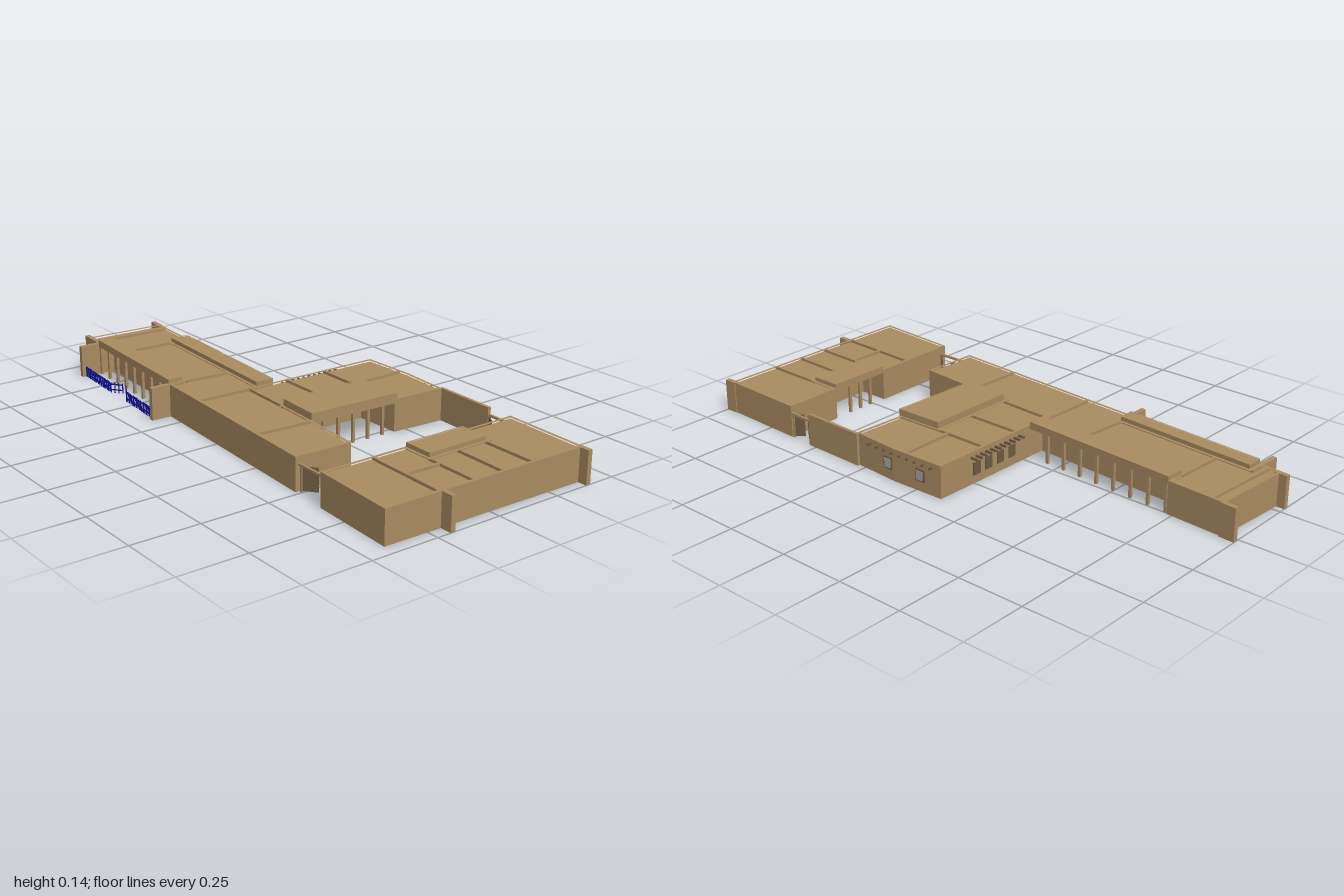
import * as THREE from 'three';

const wallMat = new THREE.MeshStandardMaterial({ color: 0xa98b61 });
const darkMat = new THREE.MeshStandardMaterial({ color: 0x6b5a42 });
const blueMat = new THREE.MeshStandardMaterial({ color: 0x12129a });
const glassMat = new THREE.MeshStandardMaterial({ color: 0xa9a9a0 });

// Plan points are [x, z].
const toVec = (pts) => pts.map(([x, z]) => new THREE.Vector2(x, -z));

// Mitred inward offset of a plan outline
function inset(pts, d) {
  const n = pts.length;
  let area = 0;
  pts.forEach(([x, z], i) => {
    const [u, v] = pts[(i + 1) % n];
    area += x * v - u * z;
  });
  const s = Math.sign(area);
  const normal = (a, b) => {
    const l = Math.hypot(b[0] - a[0], b[1] - a[1]);
    return [-s * (b[1] - a[1]) / l, s * (b[0] - a[0]) / l];
  };
  return pts.map((p, i) => {
    const m = normal(pts[(i + n - 1) % n], p), k = normal(p, pts[(i + 1) % n]);
    const f = d / (1 + m[0] * k[0] + m[1] * k[1]);
    return [p[0] + (m[0] + k[0]) * f, p[1] + (m[1] + k[1]) * f];
  });
}

function prism(name, pts, y0, y1, hole) {
  const shape = new THREE.Shape(toVec(pts));
  if (hole) shape.holes.push(new THREE.Path(toVec(hole)));
  const geo = new THREE.ExtrudeGeometry(shape, { depth: y1 - y0, bevelEnabled: false });
  geo.rotateX(-Math.PI / 2).translate(0, y0, 0);
  const mesh = new THREE.Mesh(geo, wallMat);
  mesh.name = name;
  return mesh;
}

// Block with a sunken roof and a raised rim
function block(name, pts, y0, y1, sink, rim) {
  const g = new THREE.Group();
  g.name = name;
  g.add(prism(name + 'Body', pts, y0, y1 - sink));
  g.add(prism(name + 'Rim', pts, y1 - sink, y1, inset(pts, rim)));
  return g;
}

function box(name, x, y, z, w, h, d, mat = wallMat) {
  const m = new THREE.Mesh(new THREE.BoxGeometry(w, h, d), mat);
  m.position.set(x, y, z);
  m.name = name;
  return m;
}

// Straight wall or beam between two plan points
function wall(name, a, b, y0, y1, t, mat = wallMat) {
  const dx = b[0] - a[0], dz = b[1] - a[1];
  const m = box(name, (a[0] + b[0]) / 2, (y0 + y1) / 2, (a[1] + b[1]) / 2, Math.hypot(dx, dz), y1 - y0, t, mat);
  m.rotation.y = -Math.atan2(dz, dx);
  return m;
}

const mix = (a, b, t) => [a[0] + (b[0] - a[0]) * t, a[1] + (b[1] - a[1]) * t];

// Evenly spaced posts from a to b
function posts(name, a, b, count, height, t, mat = wallMat) {
  const g = new THREE.Group();
  g.name = name;
  for (let i = 0; i < count; i++) {
    const [x, z] = mix(a, b, i / (count - 1));
    g.add(box('post', x, height / 2, z, t, height, t, mat));
  }
  return g;
}

function fence(name, path) {
  const g = new THREE.Group();
  g.name = name;
  for (let i = 0; i + 1 < path.length; i++) {
    const a = path[i], b = path[i + 1];
    const len = Math.hypot(b[0] - a[0], b[1] - a[1]);
    g.add(posts('pickets', a, b, Math.max(3, Math.round(len / 0.011)), 0.04, 0.003, blueMat));
    for (const y of [0.01, 0.031]) g.add(wall('rail', a, b, y, y + 0.004, 0.003, blueMat));
  }
  return g;
}

export function createModel() {
  const model = new THREE.Group();
  model.name = 'buildingComplex';
  const H = 0.12, SINK = 0.01, RIM = 0.012;

  // Long wing and middle block, notched for the three covered porches
  model.add(block('mainBuilding', [
    [-0.95, -0.017], [-0.73, -0.005], [-0.73, 0.065], [-0.12, 0.1], [-0.11, -0.41], [0.1, -0.417],
    [0.29, -0.405], [0.276, -0.2], [0.1, -0.195], [0.095, 0.14], [0.26, 0.15], [0.495, 0.17],
    [0.485, 0.385], [-0.33, 0.335], [-0.33, 0.275], [-0.88, 0.24], [-0.88, 0.3], [-0.97, 0.292],
  ], 0, H, SINK, RIM));

  // Separate east block with its courtyard porch notch
  model.add(block('eastBuilding', [
    [0.63, -0.405], [0.965, -0.395], [0.952, 0.415], [0.625, 0.395],
    [0.627, 0.055], [0.74, 0.055], [0.74, -0.185], [0.63, -0.185],
  ], 0, H, SINK, RIM));

  // Porch roofs
  const roofs = {
    northPorchRoof: [[[-0.73, -0.005], [-0.12, 0.03], [-0.123, 0.1], [-0.735, 0.065]], 0.135],
    frontPorchRoof: [[[-0.88, 0.24], [-0.33, 0.275], [-0.33, 0.335], [-0.88, 0.302]], 0.135],
    courtPorchRoof: [[[0.1, -0.2], [0.283, -0.205], [0.265, 0.152], [0.095, 0.142]], 0.145],
    eastPorchRoof: [[[0.63, -0.185], [0.74, -0.185], [0.74, 0.055], [0.627, 0.055]], 0.135],
  };
  for (const [name, [pts, top]] of Object.entries(roofs)) model.add(block(name, pts, 0.108, top, 0.004, 0.006));

  // Porch columns
  model.add(posts('northColumns', [-0.72, 0.003], [-0.2, 0.033], 8, 0.11, 0.01));
  model.add(posts('frontColumns', [-0.872, 0.296], [-0.338, 0.328], 9, 0.11, 0.01));
  model.add(posts('courtColumns', [0.27, -0.15], [0.26, 0.1], 5, 0.11, 0.01));
  model.add(posts('eastColumns', [0.637, -0.11], [0.635, -0.01], 3, 0.11, 0.01));

  // Projecting end walls
  const fins = [
    [[-1, -0.017], [-0.94, -0.013]], [[-1, 0.283], [-0.95, 0.286]],
    [[-0.885, 0.24], [-0.892, 0.375]], [[-0.328, 0.275], [-0.33, 0.41]],
    [[0.95, -0.39], [1, -0.39]], [[0.95, 0.19], [1, 0.19]],
  ];
  for (const [a, b] of fins) model.add(wall('buttressWall', a, b, 0, H, 0.018));

  // Low walls dividing the roofs
  const dividers = [
    [[-0.9, -0.01], [-0.92, 0.29]], [[-0.735, 0.065], [-0.745, 0.245]], [[-0.31, 0.09], [-0.33, 0.275]],
    [[-0.12, 0.1], [-0.13, 0.34]], [[0.26, 0.15], [0.245, 0.365]], [[-0.12, 0.13], [0.1, 0.14]],
    [[-0.11, -0.195], [0.1, -0.195]], [[0.055, -0.41], [0.055, -0.2]], [[-0.12, -0.03], [0.1, -0.03]],
    [[0.74, -0.185], [0.96, -0.185]], [[0.74, 0.055], [0.955, 0.06]], [[0.63, 0.19], [0.955, 0.2]],
    [[0.74, -0.065], [0.96, -0.06]], [[0.79, 0.055], [0.785, 0.2]],
  ];
  for (const [a, b] of dividers) model.add(wall('roofDivider', a, b, 0.108, H, 0.01));

  // Courtyard wall and gateways
  model.add(wall('courtyardWall', [0.28, -0.41], [0.53, -0.405], 0, H, 0.012));
  model.add(wall('northGateBeam', [0.52, -0.405], [0.635, -0.402], 0.088, 0.096, 0.008));
  model.add(wall('southGateBeam', [0.485, 0.37], [0.63, 0.37], 0.088, 0.096, 0.008));
  const leaves = [
    [[0.535, -0.402], [0.57, -0.378]], [[0.622, -0.4], [0.592, -0.376]],
    [[0.495, 0.368], [0.54, 0.335]], [[0.618, 0.368], [0.582, 0.335]],
  ];
  for (const [a, b] of leaves) {
    model.add(wall('gateLeaf', a, b, 0.005, 0.088, 0.004, darkMat));
    model.add(box('gatePost', a[0], 0.046, a[1], 0.007, 0.092, 0.007));
  }

  // Beam ends under the parapets
  for (let i = 0; i < 11; i++) model.add(box('beamEnd', -0.127, 0.1, -0.265 + i * 0.024, 0.03, 0.007, 0.007, darkMat));
  for (let i = 0; i < 9; i++) model.add(box('beamEnd', -0.07 + i * 0.036, 0.102, -0.416, 0.007, 0.007, 0.014, darkMat));

  // Framed windows on the back and the west side
  for (const x of [-0.02, 0.13]) {
    model.add(box('windowFrame', x, 0.06, -0.413, 0.038, 0.044, 0.01, darkMat));
    model.add(box('windowPane', x, 0.06, -0.415, 0.028, 0.034, 0.01, glassMat));
  }
  for (let i = 0; i < 4; i++) model.add(box('sideWindow', -0.114, 0.055, -0.24 + i * 0.06, 0.008, 0.045, 0.035, darkMat));

  // Small stepped stand in the courtyard
  const stand = new THREE.Group();
  stand.name = 'courtyardSteps';
  for (let i = 0; i < 4; i++) stand.add(box('step', 0.318, 0.006 + i * 0.006, 0.123 - i * 0.014, 0.055, 0.012 + i * 0.012, 0.014, darkMat));
  model.add(stand);

  // Blue front fence with its two gates standing open
  model.add(fence('leftFence', [[-0.88, 0.36], [-0.665, 0.378], [-0.628, 0.35]]));
  model.add(fence('rightFence', [[-0.6, 0.352], [-0.545, 0.383], [-0.34, 0.4]]));
  return model;
}
